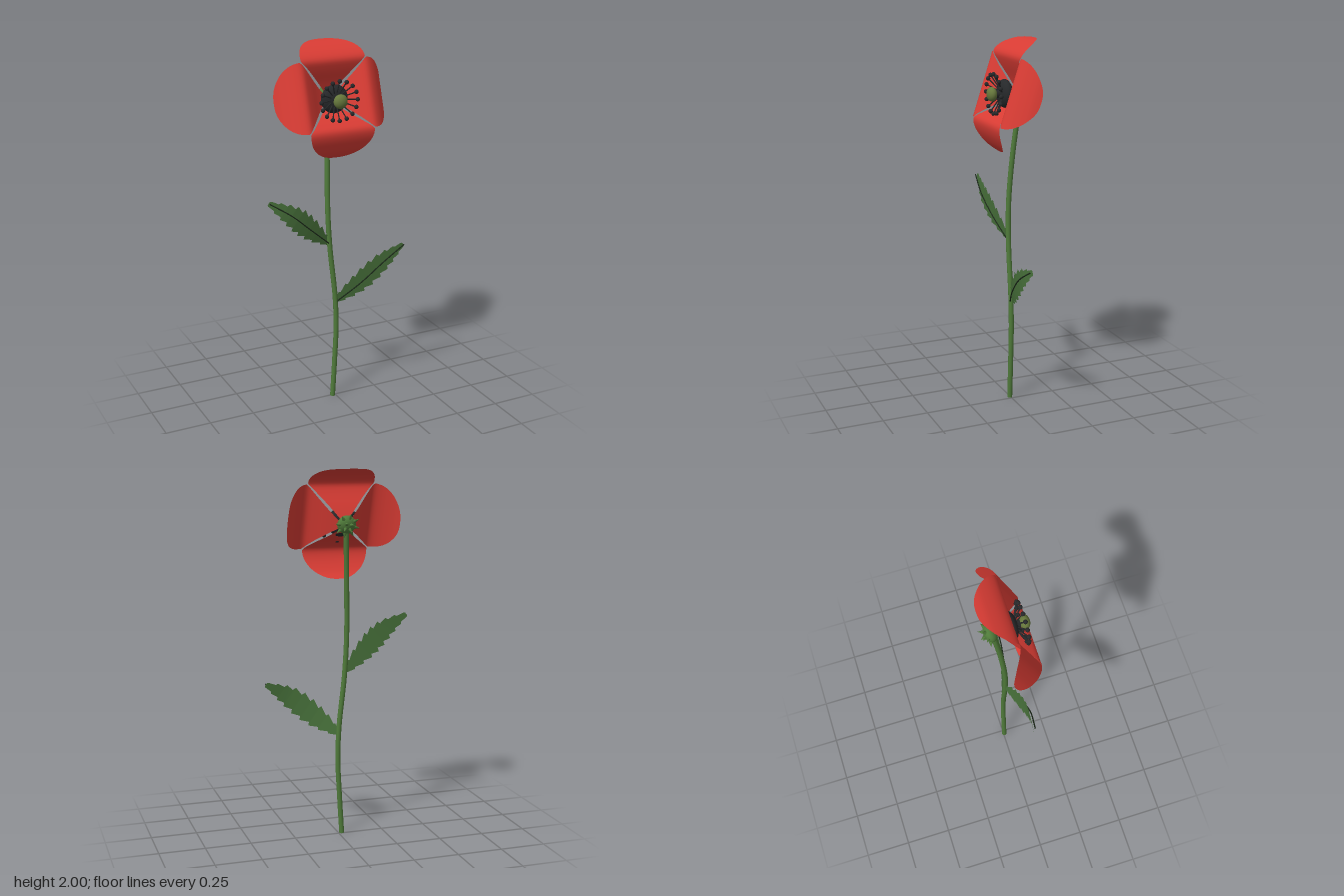
import * as THREE from 'three';

const V = (x, y, z) => new THREE.Vector3(x, y, z);
const mat = (name, color, side = THREE.FrontSide) => {
  const m = new THREE.MeshStandardMaterial({ color, side });
  m.name = name;
  return m;
};

// Surface from a grid of points: rows of equal length
function loft(rows) {
  const n = rows[0].length, index = [];
  for (let i = 0; i < rows.length - 1; i++) {
    for (let j = 0; j < n - 1; j++) {
      const a = i * n + j, b = a + 1, c = a + n, d = c + 1;
      index.push(a, b, d, a, d, c);
    }
  }
  const g = new THREE.BufferGeometry().setFromPoints(rows.flat());
  g.setIndex(index);
  g.computeVertexNormals();
  return g;
}

// Petal growing along +y, opening towards +z and curling back at the rim
function petalGeometry() {
  const profile = new THREE.SplineCurve([
    [0.02, 0], [0.08, 0.045], [0.14, 0.095], [0.185, 0.119],
    [0.235, 0.096], [0.285, 0.045], [0.31, 0],
  ].map(([r, h]) => new THREE.Vector2(r, h)));
  const rows = [];
  for (let i = 0; i <= 32; i++) {
    const p = profile.getPoint(Math.sin((i / 32) * Math.PI / 2));
    const k = Math.min(1, Math.max(0, (p.x - 0.185) / 0.125));
    const width = p.x < 0.185
      ? 0.182 * Math.pow(p.x / 0.185, 1.15)
      : 0.182 * Math.pow(Math.max(0, 1 - Math.pow(k, 2.3)), 1 / 2.3);
    const row = [];
    for (let j = 0; j <= 20; j++) {
      const v = j / 10 - 1;
      row.push(V(v * width, p.x, p.y));
    }
    rows.push(row);
  }
  return loft(rows);
}

// Toothed leaf blade following a curve, spread in the xy plane
function leafGeometry(curve, across) {
  const teeth = 9, rows = [];
  const section = (u, scale) => {
    const p = curve.getPoint(u);
    const w = (0.012 + 0.052 * Math.sin(Math.PI * Math.pow(u, 0.9))) * scale;
    rows.push([-1, 0, 1].map((s) => p.clone().addScaledVector(across, s * w)));
  };
  for (let i = 0; i < teeth; i++) {
    section(i / teeth, 0.76);
    section((i + 0.85) / teeth, 1.08);
  }
  section(1, 0.8);
  return loft(rows);
}

export function createModel() {
  const red = mat('petal red', 0xd93c34, THREE.DoubleSide);
  const green = mat('stem green', 0x4f7a3a);
  const leafGreen = mat('leaf green', 0x47703a, THREE.DoubleSide);
  const olive = mat('pistil olive', 0x66773c);
  const black = mat('stamen black', 0x26282a);
  const veinDark = mat('vein dark green', 0x1c2a1a);

  const model = new THREE.Group();
  model.name = 'flower';
  const add = (parent, name, geometry, material) => {
    const m = new THREE.Mesh(geometry, material);
    m.name = name;
    parent.add(m);
    return m;
  };

  // Stem
  const stemPath = new THREE.CatmullRomCurve3([
    V(-0.018, 0, 0.005), V(-0.005, 0.22, 0.005), V(0.004, 0.42, 0.005),
    V(-0.002, 0.6, 0.005), V(-0.034, 0.9, 0.005), V(-0.044, 1.12, 0),
    V(-0.036, 1.4, -0.022), V(-0.02, 1.7, -0.06),
  ]);
  add(model, 'stem', new THREE.TubeGeometry(stemPath, 60, 0.014, 12), green);
  const foot = add(model, 'stemFoot', new THREE.CircleGeometry(0.014, 12), green);
  foot.position.set(-0.018, 0.001, 0.005);
  foot.rotation.x = Math.PI / 2;

  // Leaves, each with a raised midrib
  const leaves = {
    rightLeaf: [V(-0.036, 0.915, 0), V(-0.17, 1.03, 0.037), V(-0.28, 1.125, 0.053), V(-0.4, 1.205, 0.039)],
    leftLeaf: [V(0, 0.57, 0), V(0.13, 0.675, 0.043), V(0.265, 0.785, 0.062), V(0.392, 0.86, 0.054)],
  };
  for (const [name, points] of Object.entries(leaves)) {
    const curve = new THREE.CatmullRomCurve3(points);
    const d = points[3].clone().sub(points[0]);
    const across = V(-d.y, d.x, 0).normalize();
    const leaf = new THREE.Group();
    leaf.name = name;
    add(leaf, 'blade', leafGeometry(curve, across), leafGreen);
    add(leaf, 'midrib', new THREE.TubeGeometry(curve, 24, 0.0035, 6), veinDark)
      .position.z = 0.011;
    model.add(leaf);
  }

  // Four petals, tilted upwards as a whole
  const corolla = new THREE.Group();
  corolla.name = 'corolla';
  corolla.position.set(-0.02, 1.705, -0.035);
  corolla.rotation.x = -0.32;
  const petal = petalGeometry();
  ['topPetal', 'rightPetal', 'bottomPetal', 'leftPetal'].forEach((name, i) => {
    add(corolla, name, petal, red).rotation.z = i * Math.PI / 2;
  });
  model.add(corolla);

  // Spiky calyx behind the petals
  const calyx = new THREE.Group();
  calyx.name = 'calyx';
  calyx.position.set(-0.02, 1.71, -0.068);
  calyx.rotation.x = -0.32;
  add(calyx, 'calyxBall', new THREE.SphereGeometry(0.05, 24, 16), green).scale.z = 0.68;
  const spike = new THREE.ConeGeometry(0.012, 0.032, 8);
  const addSpike = (dir, distance) => {
    const s = add(calyx, 'calyxSpike', spike, green);
    s.position.copy(dir).multiplyScalar(distance);
    s.quaternion.setFromUnitVectors(V(0, 1, 0), dir);
  };
  for (let i = 0; i < 8; i++) {
    const a = (i / 8) * Math.PI * 2 + 0.2;
    addSpike(V(Math.cos(a), Math.sin(a), -0.3).normalize(), 0.056);
    if (i % 2) addSpike(V(Math.cos(a) * 0.6, Math.sin(a) * 0.6, -1).normalize(), 0.044);
  }
  model.add(calyx);

  // Dark heart with stamens and pistil
  const heart = new THREE.Group();
  heart.name = 'flowerHeart';
  heart.position.set(-0.02, 1.715, 0);
  const disc = add(heart, 'heartDisc', new THREE.SphereGeometry(0.075, 28, 18), black);
  disc.position.z = 0.032;
  disc.scale.z = 0.5;
  const head = new THREE.SphereGeometry(0.0115, 12, 8);
  for (let i = 0; i < 16; i++) {
    const a = (i / 16) * Math.PI * 2, c = Math.cos(a), s = Math.sin(a);
    const tip = V(c * 0.103, s * 0.103, 0.095);
    const path = new THREE.LineCurve3(V(c * 0.03, s * 0.03, 0.058), tip);
    add(heart, 'filament', new THREE.TubeGeometry(path, 1, 0.0035, 6), black);
    add(heart, 'anther', head, black).position.copy(tip);
  }
  const style = add(heart, 'style', new THREE.CylinderGeometry(0.018, 0.022, 0.05, 16), black);
  style.rotation.x = Math.PI / 2;
  style.position.z = 0.075;
  const pistil = add(heart, 'pistil', new THREE.SphereGeometry(0.038, 24, 16), olive);
  pistil.scale.z = 0.7;
  pistil.position.z = 0.105;
  model.add(heart);

  return model;
}
